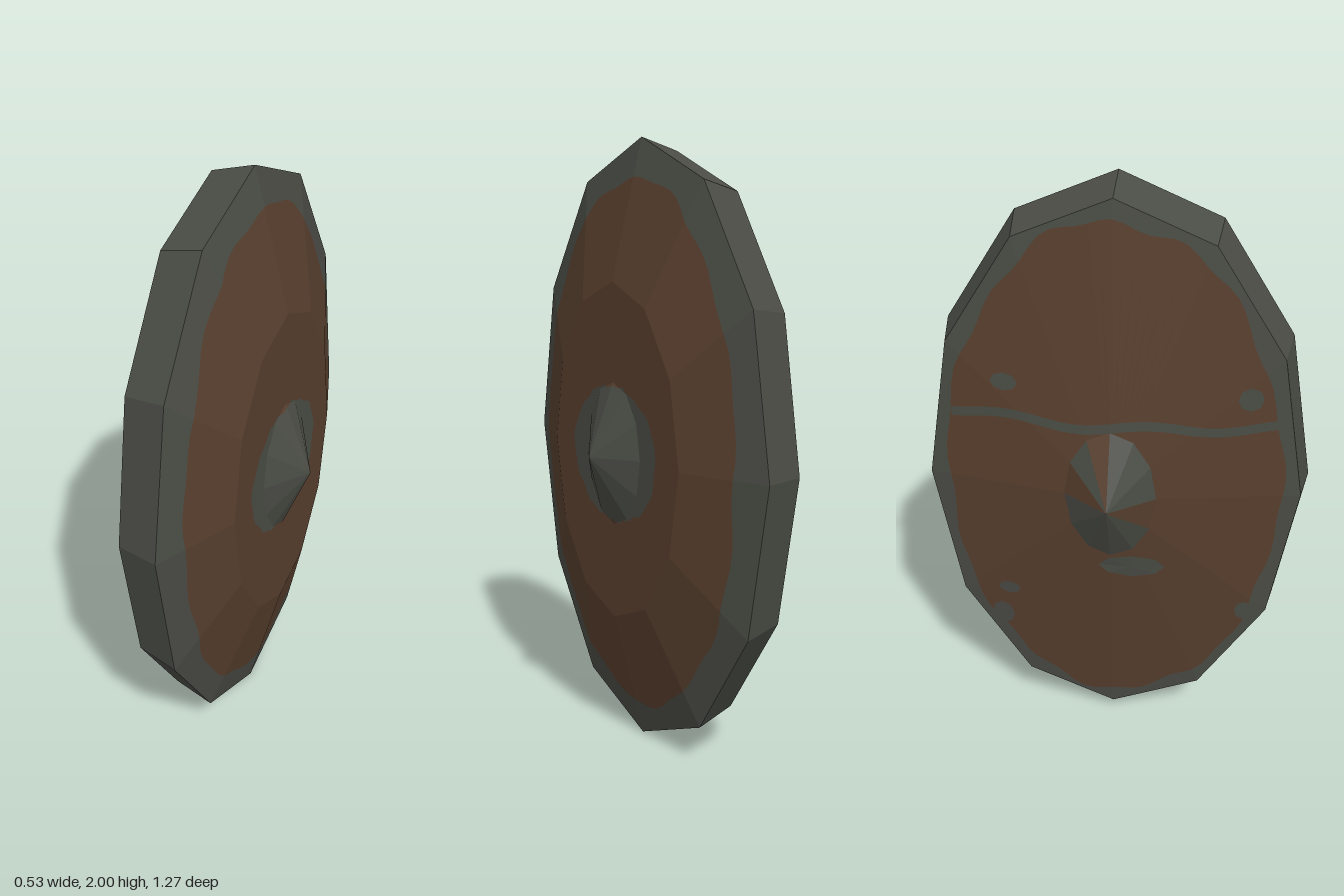
import * as THREE from 'three';

const SIDES = 12, STEPS = 96, WIDTH = 0.633;

export function createModel() {
  const group = new THREE.Group();
  const iron = new THREE.MeshStandardMaterial({ name: 'dark iron', color: 0x4a4c45, flatShading: true });
  const wood = new THREE.MeshStandardMaterial({ name: 'brown wood', color: 0x583f2e, flatShading: true });

  // Each face is a height (x) over its distance s from the centre, measured in twelve-sided rings
  const outer = [[0, 0.265], [0.235, 0.17], [0.555, 0.17], [1, 0.055]];
  const inner = [[0, -0.268], [0.235, -0.165], [0.96, -0.085]];
  const height = (profile, s) => {
    let i = 1;
    while (i < profile.length - 1 && s > profile[i][0]) i++;
    const [a, b] = [profile[i - 1], profile[i]];
    return a[1] + (b[1] - a[1]) * (s - a[0]) / (b[0] - a[0]);
  };

  // Point on the unit twelve-sided outline, as [z, y]
  const outline = (i) => {
    const per = STEPS / SIDES, k = Math.floor(i / per), f = i / per - k;
    const a = k * Math.PI * 2 / SIDES, b = (k + 1) * Math.PI * 2 / SIDES;
    return [WIDTH * (Math.cos(a) * (1 - f) + Math.cos(b) * f), Math.sin(a) * (1 - f) + Math.sin(b) * f];
  };
  const ringDistance = (z, y) => {
    let s = 0;
    for (let k = 0; k < SIDES; k++) {
      const a = (k + 0.5) * Math.PI * 2 / SIDES;
      s = Math.max(s, (Math.cos(a) * z / WIDTH + Math.sin(a) * y) / Math.cos(Math.PI / SIDES));
    }
    return s;
  };
  // Ring distance at which an ellipse with a slightly worn edge crosses step i
  const ellipse = (rz, ry, wear = 0) => (i) => {
    const [z, y] = outline(i % STEPS);
    const t = (i % STEPS) * Math.PI * 2 / STEPS;
    return (1 + wear * (Math.sin(t * 17) + Math.sin(t * 7 + 1))) / Math.hypot(z / rz, y / ry);
  };

  // Collects triangles, turns them outwards and adds a mesh
  const addMesh = (name, material, triangles) => {
    const pos = [], n = new THREE.Vector3(), e = new THREE.Vector3();
    for (const [a, b, c] of triangles) {
      n.subVectors(b, a).cross(e.subVectors(c, a));
      if (n.length() < 1e-8) continue;
      const out = n.dot(e.copy(a).add(b).add(c)) > 0;
      for (const p of out ? [a, b, c] : [a, c, b]) pos.push(p.x, p.y, p.z);
    }
    const geo = new THREE.BufferGeometry();
    geo.setAttribute('position', new THREE.Float32BufferAttribute(pos, 3));
    geo.computeVertexNormals();
    const mesh = new THREE.Mesh(geo, material);
    mesh.name = name;
    mesh.position.y = 1;
    group.add(mesh);
  };

  // Band between two ring distances (numbers or functions of the step)
  const at = (r, i) => (typeof r === 'function' ? r(i) : r);
  const band = (name, material, r0, r1, p0, p1 = p0, keep = () => true) => {
    const point = (r, p, i) => {
      const s = at(r, i), [z, y] = outline(i % STEPS);
      return new THREE.Vector3(height(p, s), y * s, z * s);
    };
    const tris = [];
    for (let i = 0; i < STEPS; i++) {
      if (!keep(Math.floor(i * SIDES / STEPS))) continue;
      const a = point(r0, p0, i), b = point(r1, p1, i), c = point(r1, p1, i + 1), d = point(r0, p0, i + 1);
      tris.push([a, b, c], [a, c, d]);
    }
    addMesh(name, material, tris);
  };

  // Rim around the edge
  band('rim', iron, 1, 0.96, outer, inner);

  // Outer face: iron border, bevelled wood, flat wood, iron collar
  const outerEdge = ellipse(0.525, 0.875, 0.008);
  const collar = ellipse(0.232, 0.222, 0.015);
  const collarOut = (i) => Math.max(0.235, collar(i));
  const collarIn = (i) => Math.min(0.235, collar(i));
  band('outerBorder', iron, outerEdge, 1, outer);
  band('outerBevel', wood, 0.555, outerEdge, outer);
  band('outerPanel', wood, collarOut, 0.555, outer);
  band('outerCollar', iron, 0.235, collarOut, outer);
  band('outerBossEdge', wood, collarIn, 0.235, outer);
  band('outerBoss', iron, 0, collarIn, outer);

  // Inner face: border, panel and a patchy boss
  const innerEdge = ellipse(0.545, 0.895, 0.012);
  const woodSide = (k) => [3, 5, 11].includes(k);
  band('innerBorder', iron, innerEdge, 0.96, inner);
  band('innerPanel', wood, 0.235, innerEdge, inner);
  band('innerBossIron', iron, 0, 0.235, inner, inner, (k) => !woodSide(k));
  band('innerBossWood', wood, 0, 0.235, inner, inner, woodSide);

  // Thin iron details lying on the inner face
  const onInner = (z, y) => new THREE.Vector3(height(inner, ringDistance(z, y)) - 0.003, y, z);
  const strap = [];
  for (let i = 0; i < 32; i++) {
    const z0 = -0.52 + i * 0.0325, z1 = z0 + 0.0325;
    const mid = (z) => 0.25 + 0.012 * Math.sin(z * 14);
    const a = onInner(z0, mid(z0) - 0.016), b = onInner(z1, mid(z1) - 0.016);
    const c = onInner(z1, mid(z1) + 0.016), d = onInner(z0, mid(z0) + 0.016);
    strap.push([a, b, c], [a, c, d]);
  }
  addMesh('innerStrap', iron, strap);

  // Spots as [z, y, half width, half height]
  const spots = [[-0.34, 0.37, 0.045, 0.03], [-0.36, -0.445, 0.04, 0.025], [0.43, 0.35, 0.04, 0.04],
    [0.45, -0.48, 0.03, 0.04], [-0.39, -0.57, 0.04, 0.05], [0.07, -0.28, 0.11, 0.045]];
  const spotTris = [];
  for (const [z, y, w, h] of spots) {
    const p = (k) => onInner(z + w * Math.cos(k * Math.PI / 4), y + h * Math.sin(k * Math.PI / 4));
    for (let k = 0; k < 8; k++) spotTris.push([onInner(z, y), p(k), p(k + 1)]);
  }
  addMesh('innerSpots', iron, spotTris);

  return group;
}
